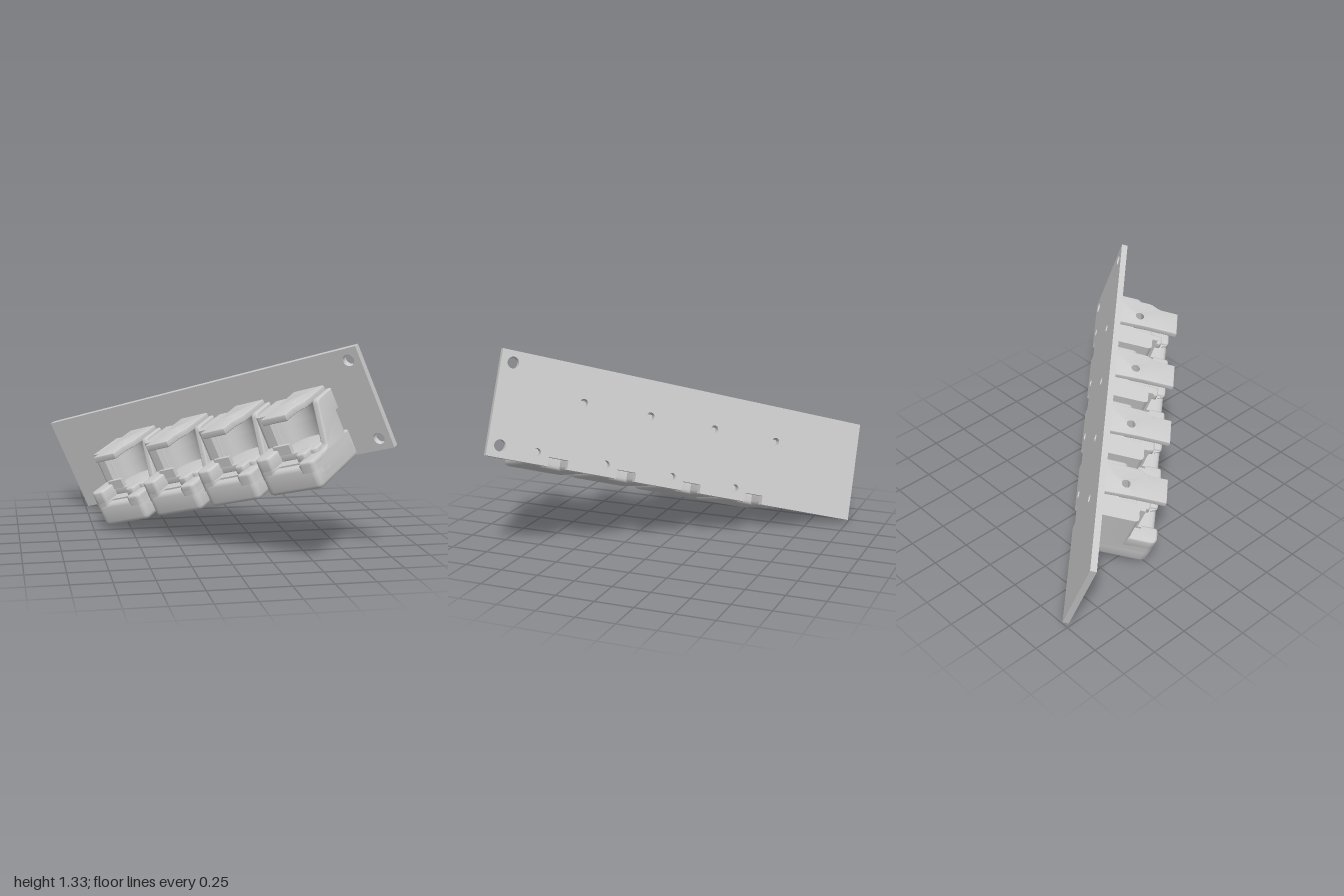
import * as THREE from 'three';
import { toCreasedNormals } from 'three/addons/utils/BufferGeometryUtils.js';

const grey = new THREE.MeshStandardMaterial({ color: 0xcccccc });

// Outline from corners [x, y, radius]; the radius rounds that corner.
function outline(corners) {
  const shape = new THREE.Shape();
  const n = corners.length;
  corners.forEach(([x, y, r = 0], i) => {
    const p = new THREE.Vector2(x, y);
    const toward = ([a, b]) => new THREE.Vector2(a, b).sub(p).setLength(r).add(p);
    const start = r ? toward(corners[(i + n - 1) % n]) : p;
    if (i === 0) shape.moveTo(start.x, start.y);
    else shape.lineTo(start.x, start.y);
    if (r) {
      const end = toward(corners[(i + 1) % n]);
      shape.quadraticCurveTo(x, y, end.x, end.y);
    }
  });
  shape.closePath();
  return shape;
}

function addHole(shape, x, y, r) {
  shape.holes.push(new THREE.Path().absarc(x, y, r, 0, Math.PI * 2, true));
}

function mesh(name, geometry) {
  const m = new THREE.Mesh(geometry, grey);
  m.name = name;
  return m;
}

// Extrusion of exact total depth with optional rounded edges
function extrude(shape, depth, bevel = 0) {
  const geo = new THREE.ExtrudeGeometry(shape, {
    depth: depth - 2 * bevel, curveSegments: 10, bevelEnabled: bevel > 0,
    bevelSize: bevel, bevelOffset: -bevel, bevelThickness: bevel, bevelSegments: 3,
  });
  return geo.translate(0, 0, bevel);
}

// Upright slab from a plan outline in x, z, between two heights
function slab(name, corners, y0, y1, bevel = 0, hole = null) {
  const shape = outline(corners.map(([x, z, r]) => [x, -z, r]));
  if (hole) addHole(shape, hole[0], -hole[1], hole[2]);
  const geo = extrude(shape, y1 - y0, bevel).translate(0, 0, y0).rotateX(-Math.PI / 2);
  return mesh(name, toCreasedNormals(geo, 0.6));
}

function box(name, x, y, z, w, h, d) {
  return mesh(name, new THREE.BoxGeometry(w, h, d).translate(x, y, z));
}

const PITCH = 0.462, FIRST = 0.83;

// Flat board with screw holes and edge notches
function makeBoard() {
  const L = 1.298, H = 0.333, pts = [[-L, -H]];
  for (let i = 3; i >= 0; i--) {
    const c = FIRST + 0.005 - i * PITCH;
    pts.push([c - 0.065, -H], [c - 0.065, -0.275], [c + 0.065, -0.275], [c + 0.065, -H]);
  }
  pts.push([L, -H], [L, H], [-L, H]);
  const shape = outline(pts);
  for (const s of [-1, 1]) addHole(shape, 1.22, s * 0.258, 0.037);
  for (let i = 0; i < 4; i++) {
    addHole(shape, 0.727 - i * PITCH, 0.099, 0.027);
    addHole(shape, 0.982 - i * PITCH, -0.259, 0.027);
  }
  return mesh('board', toCreasedNormals(extrude(shape, 0.04).translate(0, 0, -0.04), 0.6));
}

// Plan of the upper housing: thick left wall, round pocket, short right wall
function pocketPlan(back) {
  const pts = [[-0.21, back], [-0.21, 0.28, 0.03], [-0.085, 0.28, 0.02]];
  for (let i = 0; i <= 14; i++) {
    const a = Math.PI * (1 + 0.85 * i / 14);
    pts.push([0.04 + 0.125 * Math.cos(a), 0.22 + 0.125 * Math.sin(a)]);
  }
  pts.push([0.17, 0.16], [0.2, 0.16], [0.2, back]);
  return pts;
}

// Right cheek: one tall plate with a sloping front edge and a gap at the board
function makeCheek() {
  const profile = outline([[0, -0.3], [0.4, -0.3], [0.4, -0.17], [0.265, -0.15, 0.02],
    [0.18, 0.12, 0.03], [0, 0.12], [0, -0.02], [0.035, -0.02], [0.035, -0.16], [0, -0.16]]);
  const geo = extrude(profile, 0.045, 0.01).rotateY(-Math.PI / 2).translate(0.205, 0, 0);
  return mesh('rightCheek', toCreasedNormals(geo, 0.6));
}

function makeModule() {
  const g = new THREE.Group();
  g.name = 'holderModule';

  // Lower block, its rounded foot slotted behind the board notch
  g.add(slab('lowerBlock', [[-0.205, 0], [0.205, 0], [0.205, 0.471, 0.035], [0.10, 0.471, 0.025],
    [0.08, 0.42, 0.012], [-0.07, 0.42, 0.012], [-0.09, 0.46, 0.025], [-0.205, 0.46, 0.05]],
  -0.225, -0.17));
  g.add(slab('foot', [[-0.205, 0], [-0.06, 0], [-0.06, 0.11], [0.07, 0.11], [0.07, 0],
    [0.205, 0], [0.205, 0.471, 0.045], [-0.205, 0.46, 0.06]], -0.338, -0.18, 0.028));
  g.add(slab('leftLobe', [[-0.205, 0.2], [-0.09, 0.2], [-0.09, 0.46, 0.025], [-0.205, 0.46, 0.05]],
    -0.19, -0.09, 0.014));
  g.add(slab('rightLobe', [[0.10, 0.2], [0.205, 0.2], [0.205, 0.471, 0.035], [0.10, 0.471, 0.025]],
    -0.2, -0.155, 0.012));
  g.add(slab('pocketFloor', [[-0.12, 0.06], [0.17, 0.06], [0.17, 0.34, 0.03], [-0.1, 0.34]],
    -0.175, -0.125, 0.01));

  // Upper housing with a shallow gap against the board
  g.add(slab('housingMiddle', pocketPlan(0.035), -0.17, -0.02));
  g.add(slab('housingTop', pocketPlan(0), -0.02, 0.115));
  g.add(makeCheek());

  // Roof plate with a projecting tongue and a screw hole
  g.add(slab('tongue', [[-0.06, 0], [0.16, 0], [0.16, 0.25, 0.02], [0.127, 0.31, 0.02],
    [0.127, 0.44], [-0.05, 0.44], [-0.05, 0.23]], 0.105, 0.147, 0.005, [0.028, 0.173, 0.034]));

  // Latch post, cross bar and catch
  g.add(box('latchPost', -0.105, -0.01, 0.30, 0.03, 0.24, 0.04));
  g.add(box('latchFoot', -0.06, -0.1, 0.33, 0.12, 0.06, 0.03));
  g.add(slab('latchCatch', [[0.06, 0.31], [0.13, 0.31], [0.13, 0.41, 0.02], [0.06, 0.41, 0.02]],
    -0.18, -0.12, 0.01));
  g.add(box('sideRib', 0.205, -0.257, 0.366, 0.005, 0.008, 0.09));
  return g;
}

export function createModel() {
  const model = new THREE.Group();
  model.name = 'holderBoard';
  const tilted = new THREE.Group();
  tilted.name = 'tiltedAssembly';
  tilted.add(makeBoard());
  for (let i = 0; i < 4; i++) {
    const m = makeModule();
    m.position.x = FIRST - i * PITCH;
    tilted.add(m);
  }
  // The whole assembly is turned sideways and rolled
  tilted.rotation.set(0, -Math.PI / 4, THREE.MathUtils.degToRad(22.75), 'ZYX');
  tilted.position.set(-0.013, 0.67, -0.054);
  model.add(tilted);
  return model;
}
